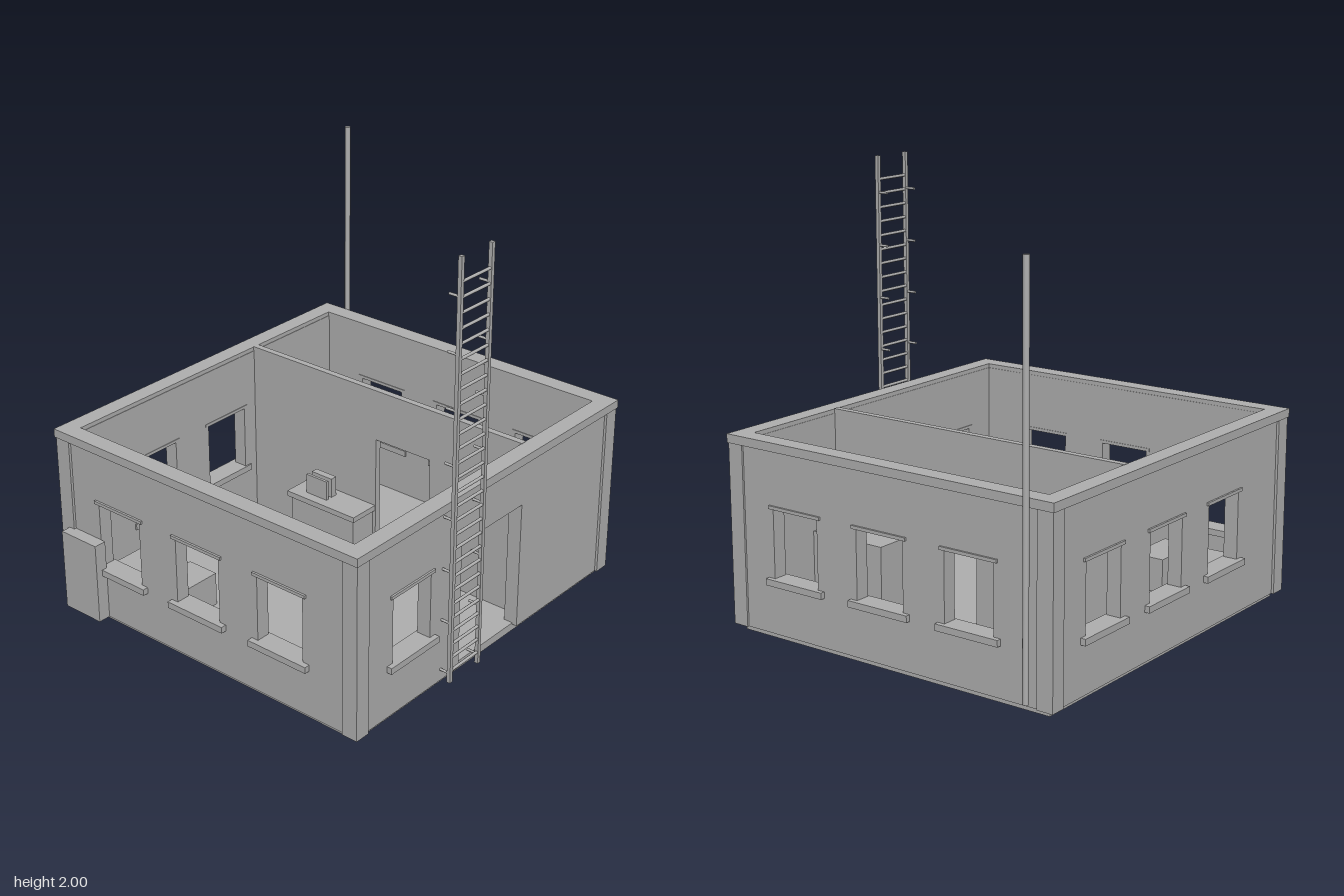
import * as THREE from 'three';

export function createModel() {
  const root = new THREE.Group();
  const grey = new THREE.MeshStandardMaterial({ color: 0xb0b0b0 });
  grey.name = 'plaster grey';

  const add = (name, geo, parent = root) => {
    const m = new THREE.Mesh(geo, grey);
    m.name = name;
    parent.add(m);
    return m;
  };
  // box from its min and max corners
  const box = (name, x0, x1, y0, y1, z0, z1, parent) =>
    add(name, new THREE.BoxGeometry(x1 - x0, y1 - y0, z1 - z0)
      .translate((x0 + x1) / 2, (y0 + y1) / 2, (z0 + z1) / 2), parent);
  const rod = (name, r, len, x, y, z, axis, parent) => {
    const g = new THREE.CylinderGeometry(r, r, len, 10);
    if (axis === 'x') g.rotateZ(Math.PI / 2);
    if (axis === 'z') g.rotateX(Math.PI / 2);
    return add(name, g.translate(x, y, z), parent);
  };

  // wall panel with window holes and an optional doorway; runs along x or z
  function wall(name, axis, a, b, d0, d1, windows, door, top = 0.88) {
    const s = axis === 'z' ? -1 : 1;
    const [u0, u1] = [s * a, s * b].sort((p, q) => p - q);
    const pts = [[u0, 0.03]];
    if (door) {
      const [l, r] = [s * door[0], s * door[1]].sort((p, q) => p - q);
      pts.push([l, 0.03], [l, 0.65], [r, 0.65], [r, 0.03]);
    }
    pts.push([u1, 0.03], [u1, top], [u0, top]);
    const shape = new THREE.Shape(pts.map(p => new THREE.Vector2(...p)));
    for (const c of windows) {
      const w = s * c;
      shape.holes.push(new THREE.Path([[w - 0.125, 0.28], [w - 0.125, 0.6], [w + 0.125, 0.6], [w + 0.125, 0.28]]
        .map(p => new THREE.Vector2(...p))));
    }
    const g = new THREE.ExtrudeGeometry(shape, { depth: d1 - d0, bevelEnabled: false });
    if (axis === 'z') g.rotateY(Math.PI / 2).translate(d0, 0, 0);
    else g.translate(0, 0, d0);
    add(name, g);
  }

  // sill and lintel for each window
  function trims(axis, windows, s0, s1, l0, l1) {
    for (const c of windows) {
      const part = (name, h, y0, y1, d0, d1) => axis === 'x'
        ? box(name, c - h, c + h, y0, y1, d0, d1)
        : box(name, d0, d1, y0, y1, c - h, c + h);
      part('windowSill', 0.16, 0.255, 0.285, s0, s1);
      part('windowLintel', 0.145, 0.6, 0.615, l0, l1);
    }
  }

  const frontWin = [-0.543], backWin = [-0.38, 0.09, 0.56];
  const leftWin = [-0.463, 0.005, 0.475], rightWin = [-0.52, -0.05, 0.42];

  // plinth and floor
  box('plinth', -0.875, 0.89, 0, 0.038, -0.845, 0.81);

  // outer walls and inner partition
  wall('frontWall', 'x', -0.86, 0.88, 0.765, 0.833, frontWin, [-0.21, 0.222]);
  wall('backWall', 'x', -0.86, 0.88, -0.873, -0.805, backWin);
  wall('leftWall', 'z', -0.85, 0.81, 0.85, 0.918, leftWin);
  wall('rightWall', 'z', -0.85, 0.81, -0.9, -0.833, rightWin);
  wall('partition', 'z', -0.81, 0.77, 0.293, 0.325, [], [-0.045, 0.27], 0.902);

  trims('x', frontWin, 0.755, 0.857, 0.762, 0.842);
  trims('x', backWin, -0.897, -0.797, -0.882, -0.802);
  trims('z', leftWin, 0.84, 0.94, 0.847, 0.927);
  trims('z', rightWin, -0.927, -0.823, -0.91, -0.83);

  // corner pillars
  for (const [x0, x1] of [[-0.912, -0.835], [0.852, 0.927]])
    for (const [z0, z1] of [[-0.885, -0.806], [0.767, 0.845]])
      box('cornerPillar', x0, x1, 0.03, 0.87, z0, z1);

  // crowning band around the top
  const rect = (S, x0, x1, y0, y1) => new S([[x0, y0], [x1, y0], [x1, y1], [x0, y1]].map(p => new THREE.Vector2(...p)));
  const band = rect(THREE.Shape, -0.918, 0.932, -0.85, 0.89);
  band.holes.push(rect(THREE.Path, -0.835, 0.847, -0.767, 0.807));
  add('topBand', new THREE.ExtrudeGeometry(band, { depth: 0.04, bevelEnabled: false })
    .rotateX(-Math.PI / 2).translate(0, 0.86, 0));

  // ladder with wall brackets
  const ladder = new THREE.Group();
  ladder.name = 'ladder';
  root.add(ladder);
  for (const x of [-0.34, -0.142]) {
    box('ladderRail', x - 0.009, x + 0.009, 0.045, 2, 0.875, 0.893, ladder);
    for (let i = 0; i < 8; i++) rod('ladderBracket', 0.006, 0.06, x, 0.088 + i * 0.2487, 0.86, 'z', ladder);
  }
  for (let i = 0; i < 28; i++) rod('ladderRung', 0.007, 0.2, -0.241, 0.1 + i * 0.0663, 0.884, 'x', ladder);

  // pole and outside cabinet
  rod('pole', 0.0135, 1.8, 0.943, 0.95, -0.765, 'y');
  box('outsideCabinet', -0.96, -0.9, 0.03, 0.42, -0.835, -0.62);

  // desk with two screens
  box('deskTop', 0.135, 0.293, 0.275, 0.302, -0.46, -0.048);
  box('deskBody', 0.15, 0.293, 0.035, 0.275, -0.445, -0.063);
  box('deskPanel', 0.183, 0.197, 0.302, 0.4, -0.38, -0.255);
  box('deskUnit', 0.22, 0.255, 0.302, 0.4, -0.377, -0.255);

  // remaining furniture
  box('lowTable', -0.785, -0.55, 0.035, 0.2, -0.735, -0.523);
  box('bench', -0.795, -0.517, 0.035, 0.2, -0.477, -0.315);
  box('sideChest', 0.325, 0.487, 0.035, 0.36, 0.365, 0.767);
  return root;
}
